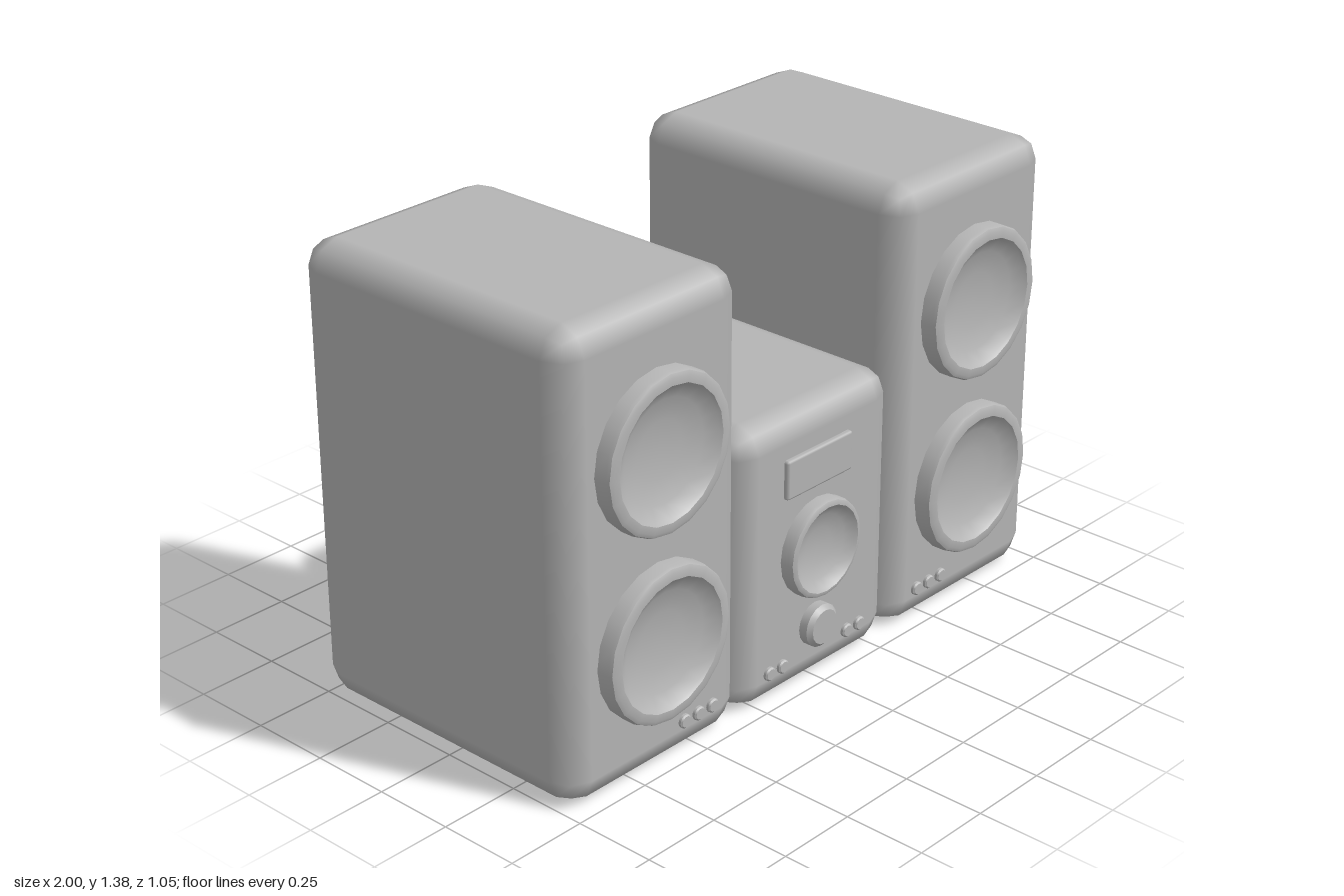
import * as THREE from 'three';
import { RoundedBoxGeometry } from 'three/addons/geometries/RoundedBoxGeometry.js';
import { toCreasedNormals } from 'three/addons/utils/BufferGeometryUtils.js';

const FRONT = 0.47, BACK = -0.525;

export function createModel() {
  const grey = new THREE.MeshStandardMaterial({ color: 0xb4b4b4 });
  grey.name = 'grey';
  const model = new THREE.Group();
  model.name = 'stereo';

  function add(parent, name, geometry, x, y, z) {
    const mesh = new THREE.Mesh(geometry, grey);
    mesh.name = name;
    mesh.position.set(x, y, z);
    parent.add(mesh);
  }

  // Rounded cabinet standing on the ground
  function cabinet(parent, x, width, height) {
    const depth = FRONT - BACK;
    add(parent, 'cabinet', new RoundedBoxGeometry(width, height, depth, 1, 0.08),
      x, height / 2, (FRONT + BACK) / 2);
  }

  // Round part turned about the z axis, from [radius, height] pairs
  function turned(profile, sides) {
    const points = profile.map(([r, h]) => new THREE.Vector2(r, h));
    const geometry = new THREE.LatheGeometry(points, sides).rotateX(Math.PI / 2);
    return toCreasedNormals(geometry, 0.7);
  }

  // Raised rim with a shallow dished cone
  function speaker(parent, x, y, radius, inner, height) {
    add(parent, 'speakerCone', turned([
      [radius, -0.02], [radius, height - 0.015], [radius - 0.004, height - 0.005],
      [radius - 0.015, height], [inner + 0.008, height], [inner, height - 0.008],
      [inner * 0.8, height * 0.45], [inner * 0.45, height * 0.2], [0, 0.004],
    ], 20), x, y, FRONT);
  }

  function button(parent, name, x, y, radius, height) {
    const bevel = radius * 0.2;
    add(parent, name, turned([
      [radius, -0.02], [radius, height - bevel], [radius - bevel, height], [0, height],
    ], 16), x, y, FRONT);
  }

  // Tall speakers on either side
  for (const [name, x, side] of [['leftSpeaker', 0.66, 1], ['rightSpeaker', -0.663, -1]]) {
    const group = new THREE.Group();
    group.name = name;
    model.add(group);
    cabinet(group, x, 0.675, 1.385);
    for (const y of [0.405, 0.968]) speaker(group, x, y, 0.232, 0.188, 0.055);
    for (const dx of [0.1, 0.156, 0.212]) button(group, 'button', x - side * dx, 0.107, 0.021, 0.012);
  }

  // Centre unit
  const centre = new THREE.Group();
  centre.name = 'centreUnit';
  model.add(centre);
  const cx = -0.016;
  cabinet(centre, -0.01, 0.66, 0.872);
  speaker(centre, cx, 0.435, 0.15, 0.124, 0.045);
  button(centre, 'knob', cx, 0.185, 0.066, 0.04);
  for (const dx of [-0.196, -0.14, 0.14, 0.196]) button(centre, 'button', cx + dx, 0.102, 0.021, 0.012);
  add(centre, 'display', new RoundedBoxGeometry(0.276, 0.12, 0.03, 1, 0.008), cx - 0.002, 0.686, FRONT);

  return model;
}
